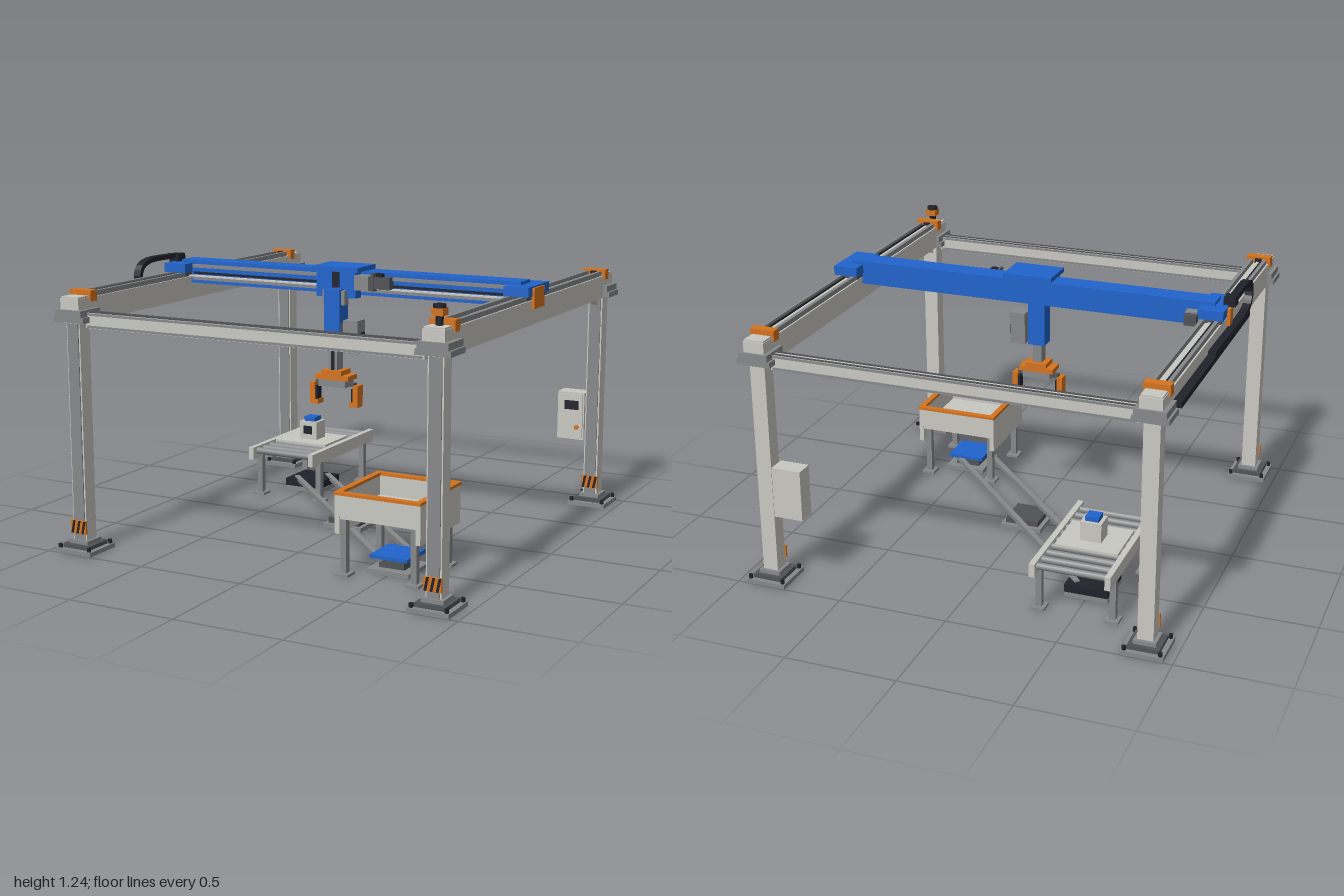
import * as THREE from 'three';

const mat = (name, color) => {
  const m = new THREE.MeshStandardMaterial({ color });
  m.name = name;
  return m;
};

export function createModel() {
  const root = new THREE.Group();
  root.name = 'gantryCell';
  const light = mat('light grey paint', 0xc9c8c2);
  const steel = mat('steel grey', 0x86888a);
  const dark = mat('dark grey', 0x505356);
  const black = mat('black', 0x20222b);
  const orange = mat('orange', 0xd4731e);
  const blue = mat('blue', 0x2064cc);

  const group = (name) => {
    const g = new THREE.Group();
    g.name = name;
    root.add(g);
    return g;
  };
  // Box given by its limits on each axis
  const box = (p, name, m, x0, x1, y0, y1, z0, z1) => {
    const b = new THREE.Mesh(new THREE.BoxGeometry(x1 - x0, y1 - y0, z1 - z0), m);
    b.position.set((x0 + x1) / 2, (y0 + y1) / 2, (z0 + z1) / 2);
    b.name = name;
    p.add(b);
    return b;
  };
  // Box centred on x, z and standing on y0
  const slab = (p, name, m, x, z, w, d, y0, y1) =>
    box(p, name, m, x - w / 2, x + w / 2, y0, y1, z - d / 2, z + d / 2);
  const cyl = (p, name, m, r, h, x, y, z, axis = 'y') => {
    const c = new THREE.Mesh(new THREE.CylinderGeometry(r, r, h, 16), m);
    c.position.set(x, y, z);
    if (axis === 'x') c.rotation.z = Math.PI / 2;
    if (axis === 'z') c.rotation.x = Math.PI / 2;
    c.name = name;
    p.add(c);
    return c;
  };
  // Flat shape in the zy or xy plane with a thickness
  const extrude = (p, name, m, pts, depth) => {
    const s = new THREE.Shape(pts.map(([a, b]) => new THREE.Vector2(a, b)));
    const e = new THREE.Mesh(new THREE.ExtrudeGeometry(s, { depth, bevelEnabled: false }), m);
    e.name = name;
    p.add(e);
    return e;
  };

  // Four corner posts with bolted feet, collars and warning bands
  for (const sx of [-1, 1]) for (const sz of [-1, 1]) {
    const x = sx * 0.866, z = sz * 0.907, g = group('post');
    slab(g, 'basePlate', steel, x, z, 0.186, 0.186, 0, 0.02);
    slab(g, 'baseStep', dark, x, z, 0.14, 0.14, 0.02, 0.038);
    slab(g, 'baseCollar', steel, x, z, 0.1, 0.1, 0.038, 0.055);
    for (const bx of [-1, 1]) for (const bz of [-1, 1])
      cyl(g, 'anchorBolt', black, 0.009, 0.02, x + bx * 0.078, 0.028, z + bz * 0.078);
    slab(g, 'column', light, x, z, 0.07, 0.07, 0.02, 1.05);
    slab(g, 'columnChannel', steel, x, z + 0.037, 0.056, 0.006, 0.055, 1.04);
    slab(g, 'collarLower', steel, x, z, 0.155, 0.135, 1.035, 1.06);
    slab(g, 'collarUpper', steel, x, z, 0.135, 0.14, 1.06, 1.09);
    slab(g, 'warningBand', orange, x, z + 0.042, 0.08, 0.01, 0.085, 0.145);
    for (const o of [-0.027, 0, 0.027])
      extrude(g, 'warningStripe', black,
        [[o - 0.012, 0.086], [o, 0.086], [o + 0.012, 0.144], [o, 0.144]], 0.002)
        .position.set(x, 0, z + 0.0465);
    // Gusset under the side beam
    const gus = extrude(g, 'gusset', light, [[0, 0], [0.085, 0], [0, -0.045]], 0.03);
    gus.rotation.y = sz > 0 ? Math.PI / 2 : -Math.PI / 2;
    gus.position.set(x - sz * 0.015, 1.035, z - sz * 0.035);
  }

  // Cross beams at front and back
  for (const sz of [-1, 1]) {
    const g = group('crossBeam'), z = sz * 0.905;
    slab(g, 'beam', light, 0, z, 1.62, 0.042, 1.01, 1.078);
    for (const o of [-0.015, 0.015]) slab(g, 'topGroove', dark, 0, z + o, 1.6, 0.01, 1.078, 1.082);
    for (const y of [1.012, 1.066]) slab(g, 'edgeStrip', steel, 0, z, 1.6, 0.05, y, y + 0.01);
  }

  // Side beams with guide rails, racks and end stops
  for (const sx of [-1, 1]) {
    const g = group('sideBeam'), x = sx * 0.865;
    slab(g, 'beam', light, x, 0, 0.096, 1.93, 1.032, 1.138);
    for (const o of [-0.032, 0.032]) slab(g, 'guideRail', steel, x + o, 0, 0.017, 1.66, 1.138, 1.16);
    slab(g, 'rack', black, x + sx * 0.014, 0, 0.007, 1.66, 1.138, 1.152);
    slab(g, 'rackSeat', light, x - 0.002, 0, 0.02, 1.66, 1.138, 1.147);
    for (const sz of [-1, 1]) {
      slab(g, 'endStop', orange, x, sz * 0.864, 0.112, 0.045, 1.12, 1.168);
      slab(g, 'endCap', light, x, sz * 0.925, 0.09, 0.07, 1.138, 1.146);
      slab(g, 'stopBuffer', black, x, sz * 0.835, 0.03, 0.015, 1.14, 1.16);
    }
  }

  // Signal beacon on the front left corner
  const beacon = group('beacon');
  cyl(beacon, 'beaconStem', black, 0.016, 0.045, 0.862, 1.165, 0.905);
  slab(beacon, 'beaconLamp', orange, 0.862, 0.905, 0.05, 0.05, 1.185, 1.215);
  cyl(beacon, 'beaconCap', black, 0.026, 0.015, 0.862, 1.222, 0.905);

  // Bridge: travelling blue beam with end carriages
  const bridge = group('bridge');
  box(bridge, 'bridgeBeam', blue, -0.87, 0.865, 1.108, 1.216, -0.02, 0.085);
  for (const y of [1.125, 1.183]) box(bridge, 'bridgeRail', steel, -0.8, 0.8, y, y + 0.015, 0.085, 0.1);
  box(bridge, 'bridgeRack', black, -0.8, 0.8, 1.152, 1.162, 0.085, 0.094);
  box(bridge, 'bridgeTray', light, -0.82, 0.8, 1.14, 1.147, 0.085, 0.108);
  for (const sx of [-1, 1]) {
    slab(bridge, 'endCarriage', blue, sx * 0.868, 0.03, 0.115, 0.24, 1.16, 1.202);
    for (const z of [-0.05, 0.11]) slab(bridge, 'slideBlock', dark, sx * 0.865, z, 0.1, 0.06, 1.142, 1.162);
  }
  box(bridge, 'sidePlateLeft', orange, 0.922, 0.935, 1.105, 1.195, -0.015, 0.102);
  box(bridge, 'sidePlateRight', orange, -0.94, -0.925, 1.12, 1.195, -0.02, 0.03);
  box(bridge, 'driveMotor', steel, -0.82, -0.755, 1.13, 1.185, -0.085, -0.04);
  box(bridge, 'driveMotorEnd', dark, -0.815, -0.76, 1.135, 1.18, -0.122, -0.085);

  // Cable chain: lower run, bend and upper run
  const chain = group('cableChain');
  box(chain, 'chainTray', black, -0.955, -0.916, 1.06, 1.085, -0.84, 0.3);
  const path = [[-0.3, 1.09], [0.27, 1.09], [0.325, 1.108], [0.352, 1.155], [0.335, 1.2], [0.28, 1.224], [0.06, 1.228]];
  const curve = new THREE.CatmullRomCurve3(path.map(([z, y]) => new THREE.Vector3(-0.935, y, z)), false, 'centripetal');
  const n = 44;
  for (let i = 0; i < n; i++) {
    const a = curve.getPointAt(i / n), b = curve.getPointAt((i + 1) / n);
    const link = new THREE.Mesh(new THREE.BoxGeometry(0.036, 0.022, a.distanceTo(b) + 0.005), black);
    link.position.copy(a).lerp(b, 0.5);
    link.lookAt(b);
    link.name = 'chainLink';
    chain.add(link);
  }
  box(chain, 'chainBracket', black, -0.952, -0.9, 1.195, 1.237, 0.01, 0.07);

  // Tool carriage on the bridge
  const car = group('toolCarriage');
  box(car, 'topPlate', blue, -0.117, 0.112, 1.217, 1.238, -0.02, 0.155);
  box(car, 'frontPlate', blue, -0.1, 0.1, 1.1, 1.22, 0.1, 0.15);
  box(car, 'cableSlot', black, -0.018, 0.018, 1.145, 1.215, 0.15, 0.156);
  box(car, 'gearbox', steel, 0.1, 0.17, 1.14, 1.205, 0.1, 0.165);
  box(car, 'motorFlange', dark, 0.17, 0.182, 1.135, 1.215, 0.088, 0.135);
  box(car, 'motorBody', dark, 0.182, 0.258, 1.145, 1.2, 0.09, 0.13);
  box(car, 'motorPlug', black, 0.19, 0.22, 1.2, 1.215, 0.1, 0.125);

  // Vertical axis
  const lift = group('verticalAxis');
  box(lift, 'liftColumn', blue, -0.04, 0.04, 0.86, 1.14, 0.112, 0.19);
  for (const sx of [-1, 1])
    slab(lift, 'liftRail', steel, sx * 0.048, 0.155, 0.016, 0.04, 1.07, 1.135);
  box(lift, 'liftMotor', steel, 0.058, 0.13, 0.855, 1.005, 0.115, 0.19);
  box(lift, 'liftMotorBracket', dark, 0.04, 0.058, 0.87, 0.99, 0.125, 0.18);
  box(lift, 'liftMotorFace', black, 0.068, 0.122, 0.87, 0.94, 0.19, 0.199);
  box(lift, 'liftMotorSide', black, 0.13, 0.136, 0.89, 0.95, 0.13, 0.17);
  box(lift, 'ram', steel, -0.022, 0.022, 0.77, 0.86, 0.125, 0.18);
  box(lift, 'ramStrip', black, -0.008, 0.008, 0.77, 0.86, 0.18, 0.184);

  // Gripper
  const grip = group('gripper');
  slab(grip, 'wristFlange', orange, 0, 0.15, 0.1, 0.09, 0.748, 0.772);
  slab(grip, 'palmPlate', orange, 0, 0.15, 0.168, 0.09, 0.728, 0.75);
  slab(grip, 'palmBody', steel, 0, 0.15, 0.135, 0.085, 0.695, 0.728);
  slab(grip, 'slideBar', dark, 0, 0.15, 0.2, 0.03, 0.7, 0.715);
  for (const sx of [-1, 1]) {
    slab(grip, 'finger', orange, sx * 0.11, 0.15, 0.026, 0.052, 0.607, 0.706);
    slab(grip, 'fingerTip', orange, sx * 0.095, 0.15, 0.03, 0.05, 0.607, 0.628);
    slab(grip, 'fingerPad', black, sx * 0.092, 0.15, 0.01, 0.04, 0.628, 0.69);
  }

  // Legs with foot plates for the two stations
  const legs = (g, xs, zs, top) => {
    for (const x of xs) for (const z of zs) {
      slab(g, 'leg', steel, x, z, 0.028, 0.028, 0, top);
      slab(g, 'footPlate', steel, x, z, 0.062, 0.065, 0, 0.012);
    }
  };

  // Roller conveyor with a pallet and workpiece
  const conv = group('conveyor');
  legs(conv, [-0.667, -0.333], [-0.748, -0.29], 0.2);
  for (const x of [-0.668, -0.332]) slab(conv, 'sideRail', light, x, -0.52, 0.026, 0.65, 0.195, 0.257);
  for (let i = 0; i < 10; i++)
    cyl(conv, 'roller', steel, 0.016, 0.32, -0.5, 0.235, -0.808 + i * 0.0633, 'x');
  slab(conv, 'pallet', light, -0.505, -0.522, 0.285, 0.24, 0.25, 0.26);
  slab(conv, 'workpiece', light, -0.502, -0.524, 0.096, 0.092, 0.26, 0.35);
  slab(conv, 'workpieceCap', blue, -0.502, -0.524, 0.062, 0.062, 0.35, 0.372);
  slab(conv, 'workpieceWindow', black, -0.502, -0.475, 0.046, 0.008, 0.288, 0.328);

  // Collection bin
  const bin = group('bin');
  legs(bin, [0.333, 0.663], [0.36, 0.69], 0.25);
  for (const x of [0.309, 0.687]) slab(bin, 'sideWall', light, x, 0.515, 0.022, 0.4, 0.185, 0.357);
  for (const z of [0.326, 0.704]) slab(bin, 'endWall', light, 0.498, z, 0.36, 0.022, 0.265, 0.357);
  slab(bin, 'floor', light, 0.498, 0.515, 0.365, 0.39, 0.25, 0.268);
  for (const x of [0.309, 0.687]) slab(bin, 'rimSide', orange, x, 0.515, 0.028, 0.41, 0.355, 0.368);
  for (const z of [0.324, 0.706]) slab(bin, 'rimEnd', orange, 0.498, z, 0.36, 0.028, 0.355, 0.368);

  // Diagonal floor track with shuttle
  const track = group('floorTrack');
  for (const o of [-0.5, 0, 0.5]) slab(track, 'floorPad', steel, o, o * 1.04, 0.2, 0.2, 0, 0.02);
  slab(track, 'driveUnit', black, -0.5, -0.52, 0.2, 0.2, 0.022, 0.058);
  slab(track, 'shuttle', blue, 0.498, 0.517, 0.178, 0.18, 0.064, 0.08);
  slab(track, 'shuttleBase', dark, 0.498, 0.517, 0.12, 0.12, 0.02, 0.064);
  slab(track, 'centreSupport', dark, 0, 0, 0.16, 0.16, 0.02, 0.046);
  const bars = new THREE.Group();
  bars.name = 'trackRails';
  bars.rotation.y = -Math.PI / 4 - 0.02;
  track.add(bars);
  for (const sz of [-1, 1]) slab(bars, 'trackRail', steel, 0, sz * 0.08, 1.46, 0.025, 0.046, 0.066);

  // Control cabinet on the back left post
  const cab = group('controlCabinet');
  box(cab, 'cabinet', light, 0.695, 0.831, 0.322, 0.556, -0.94, -0.855);
  box(cab, 'cabinetDoor', light, 0.703, 0.824, 0.332, 0.547, -0.855, -0.848);
  box(cab, 'screen', black, 0.733, 0.804, 0.472, 0.516, -0.848, -0.843);
  cyl(cab, 'stopButton', orange, 0.011, 0.012, 0.797, 0.385, -0.844, 'z');

  return root;
}
